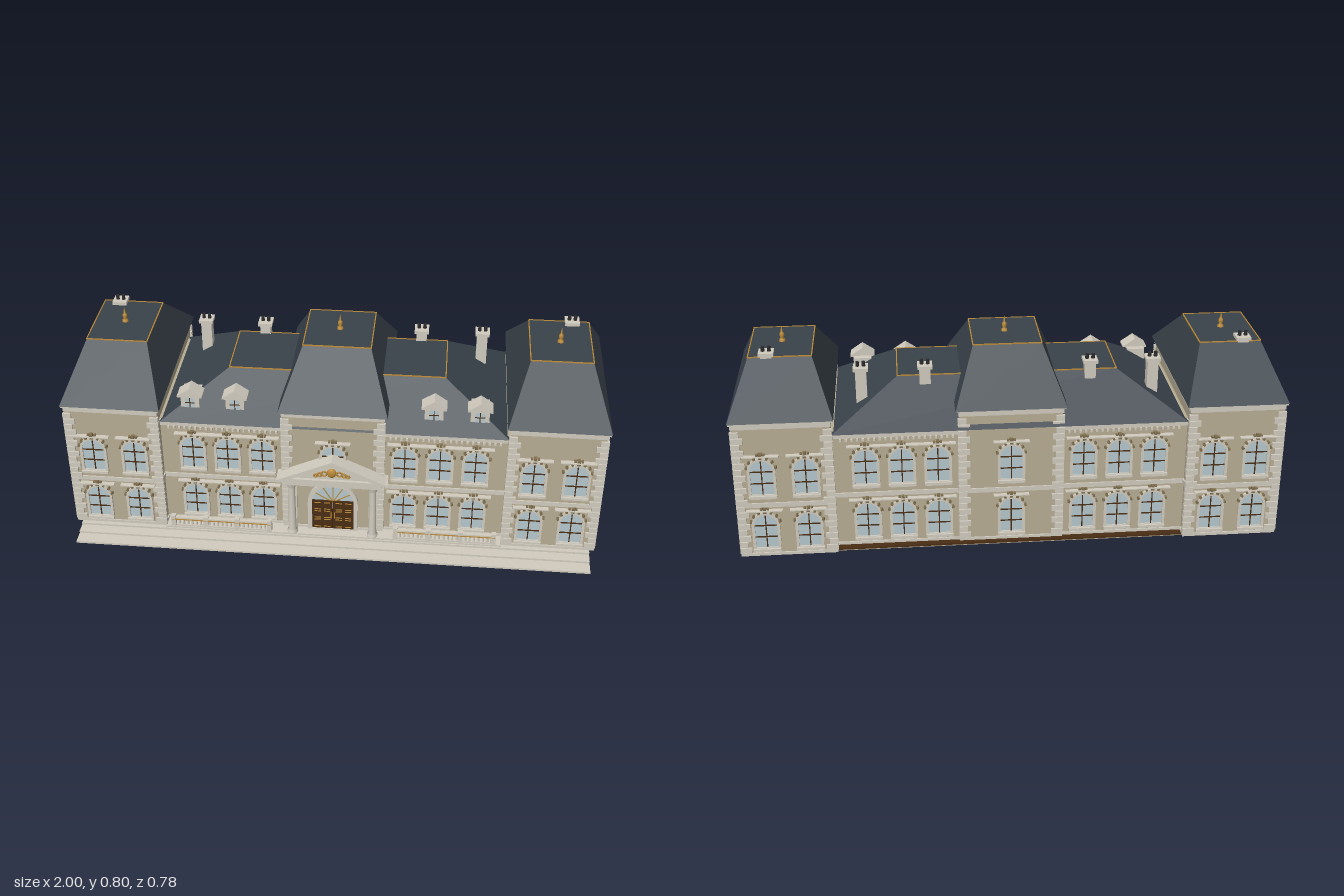
import * as THREE from 'three';
import { mergeGeometries } from 'three/addons/utils/BufferGeometryUtils.js';

const mat = (name, color, side = THREE.FrontSide) => {
  const m = new THREE.MeshStandardMaterial({ color, side });
  m.name = name;
  return m;
};

export function createModel() {
  const wall = mat('sandstone wall', 0xb8ad94), stone = mat('pale stone', 0xd2ccbf);
  const slate = mat('slate roof', 0x39424a), glass = mat('window glass', 0xb6c8ce);
  const wood = mat('dark wood', 0x4a2d14), gold = mat('gold', 0xbb8a38);
  const bronze = mat('bronze ornament', 0x80704f), pot = mat('chimney pot', 0x2b2b2f);
  const root = new THREE.Group();

  const add = (name, geo, m, parent = root) => {
    const mesh = new THREE.Mesh(geo, m);
    mesh.name = name;
    parent.add(mesh);
    return mesh;
  };
  // box from its limits
  const span = (x0, x1, y0, y1, z0, z1) =>
    new THREE.BoxGeometry(x1 - x0, y1 - y0, z1 - z0).translate((x0 + x1) / 2, (y0 + y1) / 2, (z0 + z1) / 2);
  const group = (name, x = 0, y = 0, z = 0, ry = 0, parent = root) => {
    const g = new THREE.Group();
    g.name = name;
    g.position.set(x, y, z);
    g.rotation.y = ry;
    parent.add(g);
    return g;
  };
  // round-headed opening of total height h
  const arch = (Type, w, h, y0 = 0) => {
    const s = new Type(), r = w / 2;
    s.moveTo(-r, y0);
    s.lineTo(r, y0);
    s.lineTo(r, h - r);
    s.absarc(0, h - r, r, 0, Math.PI, false);
    s.lineTo(-r, y0);
    return s;
  };
  const archFrame = (wo, ho, wi, hi, depth) => {
    const s = arch(THREE.Shape, wo, ho);
    s.holes.push(arch(THREE.Path, wi, hi, 0.003));
    return new THREE.ExtrudeGeometry(s, { depth, bevelEnabled: false, curveSegments: 10 });
  };

  // shared window geometries, standing on y = 0 and facing +z
  const W = {
    glass: new THREE.ShapeGeometry(arch(THREE.Shape, 0.08, 0.138), 10).translate(0, 0, 0.003),
    frame: archFrame(0.1, 0.148, 0.08, 0.138, 0.01),
    trim: mergeGeometries([
      span(-0.05, 0.05, -0.008, 0.001, 0, 0.018),
      span(-0.044, 0.044, -0.014, -0.008, 0, 0.011),
      span(-0.065, 0.065, 0.154, 0.158, 0, 0.018)]),
    bars: mergeGeometries([
      span(-0.002, 0.002, 0, 0.137, 0.003, 0.006),
      ...[0.047, 0.093].map(y => span(-0.04, 0.04, y - 0.002, y + 0.002, 0.003, 0.006))]),
    studs: mergeGeometries([
      ...[-75, -50, -25, 25, 50, 75].map(a => {
        const t = a * Math.PI / 180;
        return new THREE.BoxGeometry(0.008, 0.008, 0.014).rotateZ(-t)
          .translate(Math.sin(t) * 0.053, 0.098 + Math.cos(t) * 0.053, 0.007);
      }),
      span(-0.006, 0.006, 0.146, 0.168, 0, 0.015),
      span(-0.016, -0.008, 0.158, 0.164, 0, 0.012), span(0.008, 0.016, 0.158, 0.164, 0, 0.012)]),
  };
  const addWindow = (x, y, z, ry) => {
    const g = group('window', x, y, z, ry);
    add('windowGlass', W.glass, glass, g);
    add('windowFrame', W.frame, stone, g);
    add('windowTrim', W.trim, stone, g);
    add('windowBars', W.bars, wood, g);
    add('windowStuds', W.studs, bronze, g);
  };

  // hipped roof with a flat top edged in gold: base and top are [x0, x1, z0, z1]
  const roof = (name, b, t, y0, y1) => {
    const ring = ([x0, x1, z0, z1], y) => [[x0, y, z1], [x1, y, z1], [x1, y, z0], [x0, y, z0]];
    const lo = ring(b, y0), hi = ring(t, y1), pos = [];
    const quad = (p, q, r, s) => pos.push(...p, ...q, ...r, ...p, ...r, ...s);
    for (let i = 0; i < 4; i++) quad(lo[i], lo[(i + 1) % 4], hi[(i + 1) % 4], hi[i]);
    quad(...hi);
    quad(lo[3], lo[2], lo[1], lo[0]);
    const g = new THREE.BufferGeometry();
    g.setAttribute('position', new THREE.Float32BufferAttribute(pos, 3));
    g.computeVertexNormals();
    add(name, g, slate);
    const [x0, x1, z0, z1] = t, e = 0.002;
    add(name + 'Edging', mergeGeometries([
      span(x0, x1, y1 - e, y1 + e, z0 - e, z0 + e), span(x0, x1, y1 - e, y1 + e, z1 - e, z1 + e),
      span(x0 - e, x0 + e, y1 - e, y1 + e, z0, z1), span(x1 - e, x1 + e, y1 - e, y1 + e, z0, z1)]), gold);
  };

  // block of building with horizontal stone bands
  const block = (name, x0, x1, z0, z1, top) => {
    add(name + 'Walls', span(x0, x1, 0.03, top, z0, z1), wall);
    const band = (y0, y1, o) => span(x0 - o, x1 + o, y0, y1, z0 - o, z1 + o);
    add(name + 'Bands', mergeGeometries([
      band(0.03, 0.041, 0.005), band(0.229, 0.246, 0.005), band(top - 0.03, top - 0.012, 0.004),
      band(top - 0.012, top - 0.003, 0.01)]), stone);
  };
  // column of alternating corner stones
  const quoins = (x, z, sx, sz, top) => {
    const list = [];
    for (let i = 0, y = 0.043; y < top - 0.04; i++, y += 0.0245) {
      const w = i % 2 ? 0.024 : 0.036, d = i % 2 ? 0.006 : 0.012;
      const a = x + sx * 0.007, b = x - sx * w, c = z + sz * 0.008, e = z - sz * d;
      list.push(span(Math.min(a, b), Math.max(a, b), y, y + 0.021, Math.min(c, e), Math.max(c, e)));
    }
    add('cornerStones', mergeGeometries(list), stone);
  };
  const finial = (x, y, z, s) => add('finial', new THREE.LatheGeometry(
    [[0.014, 0], [0.012, 0.01], [0.006, 0.014], [0.011, 0.026], [0.009, 0.036], [0.004, 0.042], [0.003, 0.055], [0, 0.07]]
      .map(([r, h]) => new THREE.Vector2(r * s, h * s)), 10).translate(x, y, z), gold);
  const chimney = (x, y0, y1, z) => {
    add('chimney', mergeGeometries([
      span(x - 0.02, x + 0.02, y0, y1 - 0.012, z - 0.02, z + 0.02),
      span(x - 0.027, x + 0.027, y1 - 0.012, y1, z - 0.027, z + 0.027)]), stone);
    add('chimneyPots', mergeGeometries([-0.011, 0.011].map(d =>
      new THREE.CylinderGeometry(0.006, 0.007, 0.018, 8).translate(x + d, y1 + 0.009, z))), pot);
  };

  // foundation, floor slab and front steps
  add('foundation', span(-0.97, 0.97, 0, 0.025, -0.32, 0.235), wall);
  add('floorSlab', span(-0.965, 0.965, 0.024, 0.031, -0.355, 0.27), wood);
  [[0.39, 0.008], [0.34, 0.016], [0.3, 0.025]].forEach(([z, y]) =>
    add('frontStep', span(-0.97, 0.97, y - 0.008, y, 0.235, z), stone));
  add('terrace', span(-0.64, 0.64, 0.025, 0.032, 0.2, 0.295), stone);

  // main range and centre block
  block('mainRange', -0.65, 0.65, -0.325, 0.235, 0.495);
  roof('mainRoof', [-0.64, 0.64, -0.35, 0.255], [-0.4, 0.4, -0.175, 0.085], 0.49, 0.635);
  block('centreBlock', -0.185, 0.185, -0.333, 0.248, 0.568);
  roof('centreRoof', [-0.2, 0.2, -0.352, 0.27], [-0.125, 0.125, -0.175, 0.085], 0.563, 0.745);
  finial(0, 0.745, -0.045, 0.85);
  const dentils = [];
  for (let x = 0.21; x < 0.63; x += 0.02)
    for (const s of [-1, 1]) dentils.push(span(s * x - 0.004, s * x + 0.004, 0.455, 0.465, -0.335, 0.245));
  add('dentils', mergeGeometries(dentils), stone);

  const floors = [0.062, 0.279];
  addWindow(0, floors[1], 0.248, 0);
  floors.forEach(y => addWindow(0, y, -0.333, Math.PI));

  for (const s of [-1, 1]) {
    // end pavilion
    const lim = (a, b) => (s > 0 ? [a, b] : [-b, -a]);
    block('pavilion', ...lim(0.642, 0.982), -0.375, 0.285, 0.568);
    roof('pavilionRoof', [...lim(0.627, 0.995), -0.388, 0.298], [...lim(0.7, 0.925), -0.195, 0.095], 0.563, 0.733);
    finial(s * 0.812, 0.733, -0.045, 0.85);
    chimney(s * 0.86, 0.68, 0.75, -0.18);
    for (const [z, d] of [[0.285, 1], [-0.375, -1]]) {
      quoins(s * 0.982, z, s, d, 0.568);
      quoins(s * 0.642, z, -s, d, 0.568);
    }
    for (const [z, d] of [[0.248, 1], [-0.333, -1]]) quoins(s * 0.185, z, s, d, 0.568);

    // windows on both storeys
    for (const y of floors) {
      for (const x of [0.735, 0.89]) {
        addWindow(s * x, y, 0.285, 0);
        addWindow(s * x, y, -0.375, Math.PI);
      }
      for (const x of [0.265, 0.395, 0.525]) {
        addWindow(s * x, y, 0.235, 0);
        addWindow(s * x, y, -0.325, Math.PI);
      }
      for (const z of [0.128, -0.043, -0.215]) addWindow(s * 0.982, y, z, s * Math.PI / 2);
    }

    // chimneys and dormers on the wing roof
    for (const x of [0.3, 0.53]) chimney(s * x, 0.53, 0.682, -0.185);
    for (const x of [0.364, 0.53]) {
      const g = group('dormer', s * x, 0.52, 0);
      add('dormerBody', span(-0.034, 0.034, 0, 0.06, 0.13, 0.208), stone, g);
      const gable = new THREE.Shape([[-0.046, 0.055], [0.046, 0.055], [0.046, 0.061], [0, 0.092], [-0.046, 0.061]]
        .map(p => new THREE.Vector2(...p)));
      add('dormerGable', new THREE.ExtrudeGeometry(gable, { depth: 0.06, bevelEnabled: false }).translate(0, 0, 0.155), stone, g);
      add('dormerGlass', new THREE.ShapeGeometry(arch(THREE.Shape, 0.036, 0.057, 0.01), 8).translate(0, 0, 0.21), glass, g);
      add('dormerBars', mergeGeometries([
        span(-0.0015, 0.0015, 0.01, 0.056, 0.21, 0.212), span(-0.018, 0.018, 0.03, 0.033, 0.21, 0.212)]), wood, g);
    }

    // balustrade
    const parts = [span(...lim(0.235, 0.615), 0.032, 0.039, 0.278, 0.292), span(...lim(0.235, 0.615), 0.065, 0.072, 0.278, 0.292)];
    for (const x of [0.24, 0.365, 0.485, 0.61])
      parts.push(span(s * x - 0.009, s * x + 0.009, 0.03, 0.08, 0.276, 0.294));
    for (let x = 0.258; x < 0.6; x += 0.0165)
      parts.push(new THREE.CylinderGeometry(0.003, 0.0045, 0.028, 6).translate(s * x, 0.052, 0.285));
    add('balustrade', mergeGeometries(parts), stone);
    add('balustradeRail', span(...lim(0.235, 0.615), 0.062, 0.066, 0.276, 0.294), gold);

    // portico column
    const col = [[0.02, 0.03], [0.02, 0.042], [0.015, 0.048], [0.012, 0.24], [0.017, 0.252], [0.019, 0.268]];
    for (const [x, z] of [[0.152, 0.28]])
      add('porticoColumn', new THREE.LatheGeometry(col.map(p => new THREE.Vector2(...p)), 14).translate(s * x, 0, z), stone);
    add('pilaster', span(...lim(0.136, 0.168), 0.03, 0.268, 0.24, 0.256), stone);
  }

  // portico entablature and pediment
  add('entablature', mergeGeometries([
    span(-0.185, 0.185, 0.266, 0.284, 0.24, 0.3), span(-0.205, 0.205, 0.284, 0.292, 0.24, 0.306)]), stone);
  const tri = (w, y0, y1) => [[-w, y0], [w, y0], [0, y1]].map(p => new THREE.Vector2(...p));
  const ped = new THREE.Shape(tri(0.207, 0.289, 0.383));
  ped.holes.push(new THREE.Path(tri(0.152, 0.299, 0.367)));
  add('pedimentFrame', new THREE.ExtrudeGeometry(ped, { depth: 0.066, bevelEnabled: false }).translate(0, 0, 0.24), stone);
  add('pedimentPanel', new THREE.ExtrudeGeometry(new THREE.Shape(tri(0.18, 0.292, 0.373)), { depth: 0.055, bevelEnabled: false })
    .translate(0, 0, 0.24), stone);
  add('pedimentOrnament', mergeGeometries([
    new THREE.SphereGeometry(1, 12, 8).scale(0.018, 0.02, 0.009).translate(0, 0.33, 0.298),
    ...[-1, 1].flatMap(s => [0.028, 0.045, 0.06].map((x, i) =>
      new THREE.TorusGeometry(0.01 - i * 0.002, 0.0035, 5, 10).translate(s * x, 0.326 - i * 0.005, 0.298)))]), gold);

  // entrance door with fanlight
  const door = group('entrance', 0, 0.032, 0.248);
  add('doorSurround', archFrame(0.19, 0.222, 0.158, 0.208, 0.014), stone, door);
  add('fanlight', new THREE.ShapeGeometry(arch(THREE.Shape, 0.158, 0.208), 14).translate(0, 0, 0.003), glass, door);
  add('fanlightBars', mergeGeometries([30, 60, 90, 120, 150].map(a =>
    new THREE.BoxGeometry(0.076, 0.003, 0.003).translate(0.038, 0, 0).rotateZ(a * Math.PI / 180).translate(0, 0.129, 0.005))), gold, door);
  add('doorLeaves', mergeGeometries([span(-0.079, -0.001, 0, 0.135, 0.002, 0.008), span(0.001, 0.079, 0, 0.135, 0.002, 0.008)]), wood, door);
  const panels = [];
  for (const x of [-0.058, -0.022, 0.022, 0.058])
    for (const [y0, y1] of [[0.012, 0.045], [0.055, 0.085], [0.095, 0.125]])
      for (const y of [y0, y1]) panels.push(span(x - 0.012, x + 0.012, y - 0.0015, y + 0.0015, 0.008, 0.01));
  for (const x of [-0.006, 0.006]) panels.push(span(x - 0.002, x + 0.002, 0.055, 0.08, 0.008, 0.013));
  add('doorFittings', mergeGeometries(panels), gold, door);

  return root;
}
